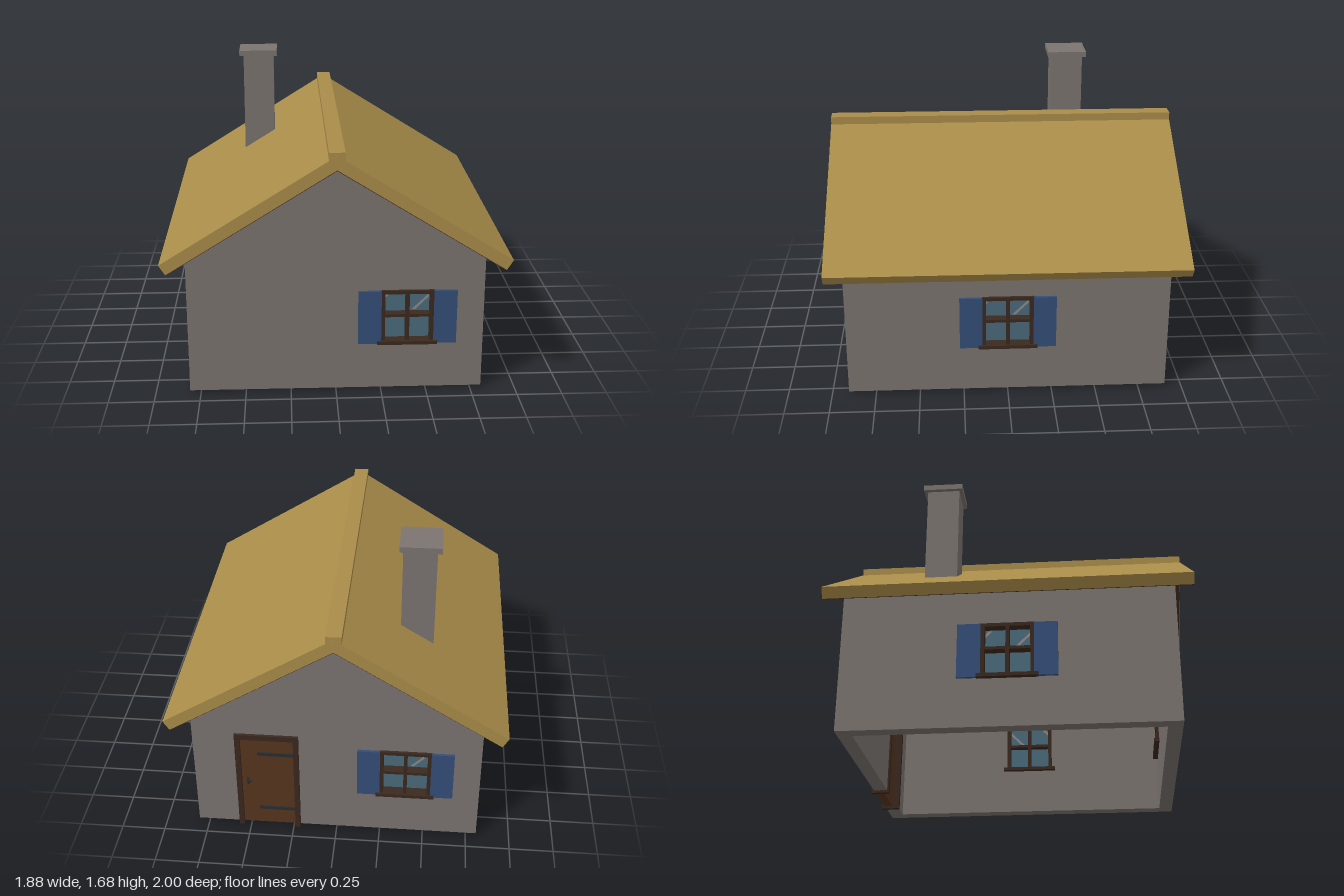
import * as THREE from 'three';

const mat = (name, color, side = THREE.FrontSide) => {
  const m = new THREE.MeshStandardMaterial({ color, side });
  m.name = name;
  return m;
};

// Main measures: half width, half depth, wall thickness, wall bottom, eaves and gable heights
const W = 0.81, D = 0.905, T = 0.08, Y0 = 0.015, EAVE = 0.805, APEX = 1.31;

export function createModel() {
  const M = {
    stone: mat('stone', 0x7b7470),
    thatch: mat('thatch', 0xa98c49),
    lining: mat('roof lining', 0x4a3022),
    timber: mat('dark timber', 0x3a291e),
    door: mat('door wood', 0x56351f),
    shutter: mat('shutter blue', 0x344e78),
    glass: mat('glass', 0x4b6a7b),
    glint: mat('glint', 0x8f8a86, THREE.DoubleSide),
    iron: mat('iron', 0x2a2d31),
  };

  const house = new THREE.Group();
  house.name = 'cottage';

  const add = (parent, name, geometry, material) => {
    const mesh = new THREE.Mesh(geometry, material);
    mesh.name = name;
    parent.add(mesh);
    return mesh;
  };
  // Box given by its limits on each axis
  const box = (parent, name, material, x0, x1, y0, y1, z0, z1) => {
    const mesh = add(parent, name, new THREE.BoxGeometry(x1 - x0, y1 - y0, z1 - z0), material);
    mesh.position.set((x0 + x1) / 2, (y0 + y1) / 2, (z0 + z1) / 2);
    return mesh;
  };
  const poly = (pts) => new THREE.Shape(pts.map(([x, y]) => new THREE.Vector2(x, y)));
  const rect = (x0, x1, y0, y1) => poly([[x0, y0], [x1, y0], [x1, y1], [x0, y1]]);
  // Extrude a shape between two z planes
  const slab = (shape, z0, z1) =>
    new THREE.ExtrudeGeometry(shape, { depth: z1 - z0, bevelEnabled: false }).translate(0, 0, z0);
  // Group whose local z = 0 plane is an outer wall face
  const onWall = (name, x, z, turn) => {
    const g = new THREE.Group();
    g.name = name;
    g.position.set(x, 0, z);
    g.rotation.y = turn;
    house.add(g);
    return g;
  };
  const windowHole = (cx) => rect(cx - 0.143, cx + 0.143, 0.292, 0.598);

  // Gable walls; the back one is notched for the door
  const gable = (notch) => poly([[-W, Y0], ...notch, [W, Y0], [W, EAVE], [0, APEX], [-W, EAVE]]);
  const frontShape = gable([]);
  frontShape.holes.push(windowHole(0.39));
  add(onWall('front', 0, D, 0), 'frontWall', slab(frontShape, -T, 0), M.stone);
  const backShape = gable([[-0.568, Y0], [-0.568, 0.66], [-0.212, 0.66], [-0.212, Y0]]);
  backShape.holes.push(windowHole(0.39));
  add(onWall('back', 0, -D, Math.PI), 'backWall', slab(backShape, -T, 0), M.stone);

  // Side walls
  for (const [name, s] of [['left', 1], ['right', -1]]) {
    const shape = rect(-D + T, D - T, Y0, EAVE);
    shape.holes.push(windowHole(0));
    add(onWall(name, s * W, 0, s * Math.PI / 2), name + 'Wall', slab(shape, -T, 0), M.stone);
  }

  // Window with four panes, sill and a pair of open shutters
  const addWindow = (name, x, z, turn) => {
    const g = onWall(name, x, z, turn);
    const frame = rect(-0.145, 0.145, 0.295, 0.6);
    for (const s of [-1, 1]) {
      const a = s < 0 ? -0.123 : 0.01, b = a + 0.113;
      frame.holes.push(rect(a, b, 0.305, 0.445), rect(a, b, 0.462, 0.58));
      box(g, 'shutter', M.shutter, s < 0 ? -0.27 : 0.143, s < 0 ? -0.143 : 0.27, 0.288, 0.598, 0.002, 0.018);
    }
    add(g, 'windowFrame', slab(frame, -0.09, 0.016), M.timber);
    box(g, 'glass', M.glass, -0.13, 0.13, 0.3, 0.59, -0.044, -0.036);
    box(g, 'sill', M.timber, -0.165, 0.165, 0.285, 0.305, -0.11, 0.03);
    // Diagonal glints on the upper panes
    const glints = [
      [[-0.123, 0.535], [-0.085, 0.575], [-0.105, 0.575], [-0.123, 0.557]],
      [[0.025, 0.468], [0.045, 0.468], [0.12, 0.543], [0.12, 0.562]],
    ];
    for (const pts of glints) {
      for (const depth of [-0.034, -0.046])
        add(g, 'glint', new THREE.ShapeGeometry(poly(pts)).translate(0, 0, depth), M.glint);
    }
  };
  addWindow('frontWindow', 0.39, D, 0);
  addWindow('backWindow', -0.39, -D, Math.PI);
  addWindow('leftWindow', W, 0, Math.PI / 2);
  addWindow('rightWindow', -W, 0, -Math.PI / 2);

  // Back door with frame, strap hinges and handle
  const door = onWall('backDoor', 0.39, -D, Math.PI);
  const doorFrame = poly([[-0.18, 0], [-0.15, 0], [-0.15, 0.635], [0.15, 0.635],
    [0.15, 0], [0.18, 0], [0.18, 0.667], [-0.18, 0.667]]);
  add(door, 'doorFrame', slab(doorFrame, -0.09, 0.016), M.timber);
  box(door, 'doorLeaf', M.door, -0.152, 0.152, Y0, 0.637, -0.05, 0);
  for (const y of [0.13, 0.53]) {
    box(door, 'hingeStrap', M.iron, -0.055, 0.16, y - 0.01, y + 0.01, -0.002, 0.008);
  }
  box(door, 'handlePlate', M.iron, -0.122, -0.108, 0.3, 0.35, -0.002, 0.005);
  box(door, 'handle', M.iron, -0.12, -0.09, 0.325, 0.335, 0.004, 0.014);

  // Roof, brown lining beneath it and ridge cap
  const roof = poly([[0, 1.387], [-0.94, 0.8], [-0.905, 0.745], [0, APEX], [0.905, 0.745], [0.94, 0.8]]);
  add(house, 'roof', slab(roof, -1, 1), M.thatch);
  const lining = poly([[0, APEX], [-0.903, 0.7465], [-0.9, 0.744], [0, APEX - 0.005], [0.9, 0.744], [0.903, 0.7465]]);
  add(house, 'roofLining', slab(lining, -0.997, 0.997), M.lining);
  box(house, 'ridgeCap', M.thatch, -0.043, 0.043, 1.345, 1.404, -0.999, 0.999);

  // Chimney with a flat cap, its foot following the roof slope
  const stack = poly([[-0.515, 1.04], [-0.33, 1.155], [-0.33, 1.66], [-0.515, 1.66]]);
  add(house, 'chimney', slab(stack, -0.515, -0.325), M.stone);
  box(house, 'chimneyCap', M.stone, -0.54, -0.31, 1.652, 1.685, -0.537, -0.305);

  return house;
}
